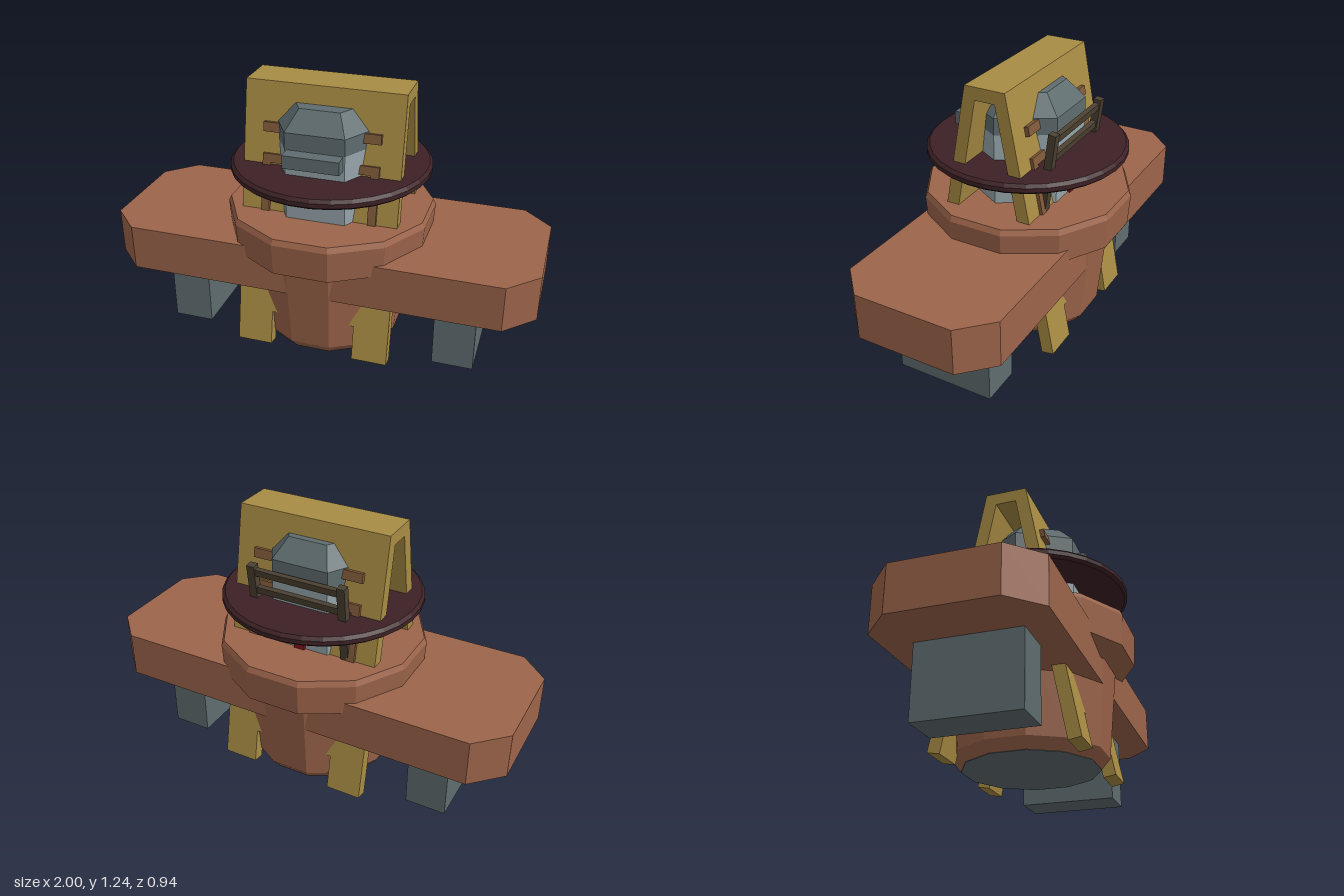
import * as THREE from 'three';

const paint = (name, color) => {
  const m = new THREE.MeshStandardMaterial({ color });
  m.name = name;
  return m;
};

export function createModel() {
  const model = new THREE.Group();
  const clay = paint('clay brown', 0x9c644a);
  const gold = paint('ochre', 0xa88c44);
  const steel = paint('dark steel', 0x5f6c6f);
  const pale = paint('pale steel', 0x96a5aa);
  const maroon = paint('dark maroon', 0x3d2125);
  const wood = paint('dark wood', 0x4c4132);
  const rust = paint('rust pipe', 0x80593a);
  const red = paint('red', 0x84161d);

  const add = (name, geo, mat, parent = model) => {
    const g = geo.index ? geo.toNonIndexed() : geo;
    g.computeVertexNormals(); // faceted
    const mesh = new THREE.Mesh(g, mat);
    mesh.name = name;
    parent.add(mesh);
    return mesh;
  };
  // box given by its limits
  const box = (name, mat, [x0, x1], [y0, y1], [z0, z1], parent = model) => {
    const g = new THREE.BoxGeometry(x1 - x0, y1 - y0, z1 - z0);
    g.translate((x0 + x1) / 2, (y0 + y1) / 2, (z0 + z1) / 2);
    return add(name, g, mat, parent);
  };
  // many-sided turned part with a flat face to the front; radii are to the flats
  const turned = (profile, sides) => new THREE.LatheGeometry(
    profile.map(([r, y]) => new THREE.Vector2(r / Math.cos(Math.PI / sides), y)),
    sides, Math.PI / sides);
  // (z, y) outline extruded across x
  const across = (pts, x0, x1) => {
    const s = new THREE.Shape(pts.map(([z, y]) => new THREE.Vector2(-z, y)));
    const g = new THREE.ExtrudeGeometry(s, { depth: x1 - x0, bevelEnabled: false });
    g.rotateY(Math.PI / 2);
    g.translate(x0, 0, 0);
    return g;
  };

  // wing platform with cut corners
  const outline = [[1, -0.23], [1, 0.23], [0.865, 0.363], [-0.865, 0.363],
    [-1, 0.23], [-1, -0.23], [-0.865, -0.363], [0.865, -0.363]];
  const deck = new THREE.ExtrudeGeometry(
    new THREE.Shape(outline.map(([x, z]) => new THREE.Vector2(x, z))),
    { depth: 0.215, bevelEnabled: false });
  deck.rotateX(-Math.PI / 2);
  deck.translate(0, 0.33, 0);
  add('platform', deck, clay);

  // block legs under the wings
  for (const s of [-1, 1]) {
    box('blockLeg', steel, [s * 0.65 - 0.095, s * 0.65 + 0.095], [0, 0.33], [-0.23, 0.23]);
  }

  // central pot and its base plate
  add('pot', turned([[0.3, 0.002], [0.338, 0.05], [0.374, 0.445], [0.46, 0.49],
    [0.469, 0.635], [0.457, 0.66], [0, 0.66]], 12), clay);
  add('basePlate', turned([[0, 0], [0.3, 0], [0.3, 0.003]], 12), steel);

  // A-frame: two leaning sheets joined at the top, with split feet
  const out = (y) => 0.336 - 0.194 * y;
  const inn = (y) => out(y) - 0.06;
  add('frame', across([[out(0.17), 0.17], [out(1.237), 1.237], [-out(1.237), 1.237],
    [-out(0.17), 0.17], [-inn(0.17), 0.17], [-inn(1.178), 1.178],
    [inn(1.178), 1.178], [inn(0.17), 0.17]], -0.363, 0.363), gold);
  for (const x of [-0.363, 0.198]) {
    for (const s of [-1, 1]) {
      const foot = [[out(0.01), 0.01], [out(0.17), 0.17], [inn(0.17), 0.17], [inn(0), 0]];
      add('frameFoot', across(foot.map(([z, y]) => [s * z, y]), x, x + 0.165), gold);
    }
  }

  // pipes lying on both faces of the frame
  for (const turn of [0, Math.PI]) {
    const side = new THREE.Group();
    side.name = 'pipes';
    side.rotation.y = turn;
    const sheet = new THREE.Group();
    sheet.position.set(0, 0.66, out(0.66));
    sheet.rotation.x = -Math.atan(0.194);
    side.add(sheet);
    model.add(side);
    for (const s of [-1, 1]) {
      const span = (a, b) => (s > 0 ? [a, b] : [-b, -a]);
      box('uprightPipe', rust, span(0.23, 0.268), [0, 0.26], [-0.02, 0.015], sheet);
      box('crossPipe', rust, span(0.14, 0.268), [0.225, 0.265], [-0.02, 0.015], sheet);
      box('upperPipe', rust, span(0.14, 0.268), [0.365, 0.408], [-0.02, 0.02], sheet);
    }
  }

  // six-sided cabin with a bevelled cap
  const cz = 0.016;
  add('cabin', turned([[0.235, 0.6], [0.235, 0.99]], 6), pale).position.z = cz;
  add('cabinCap', turned([[0.235, 0.99], [0.235, 1.068], [0.16, 1.155], [0, 1.155]], 6),
    steel).position.z = cz;
  add('noseBox', across([[0.24, 0.922], [0.24, 0.99], [0.308, 0.986], [0.308, 0.926]],
    -0.128, 0.128), steel);
  box('redPost', red, [-0.025, 0.025], [0.66, 0.755], [-0.232, -0.21]);

  // wide disc with chamfered rim
  add('disc', turned([[0, 0.826], [0.445, 0.826], [0.459, 0.838], [0.459, 0.858],
    [0.445, 0.872], [0, 0.872]], 32), maroon);

  // leaning rail at the back
  const rail = new THREE.Group();
  rail.name = 'backRail';
  rail.position.set(0, 0.66, -0.2);
  rail.rotation.x = -0.125;
  model.add(rail);
  for (const x of [-0.22, 0.22]) {
    box('railPost', wood, [x - 0.019, x + 0.019], [0, 0.378], [-0.018, 0.018], rail);
  }
  for (const y of [0.255, 0.345]) {
    box('railBar', wood, [-0.22, 0.22], [y - 0.016, y + 0.016], [-0.012, 0.012], rail);
  }
  return model;
}
